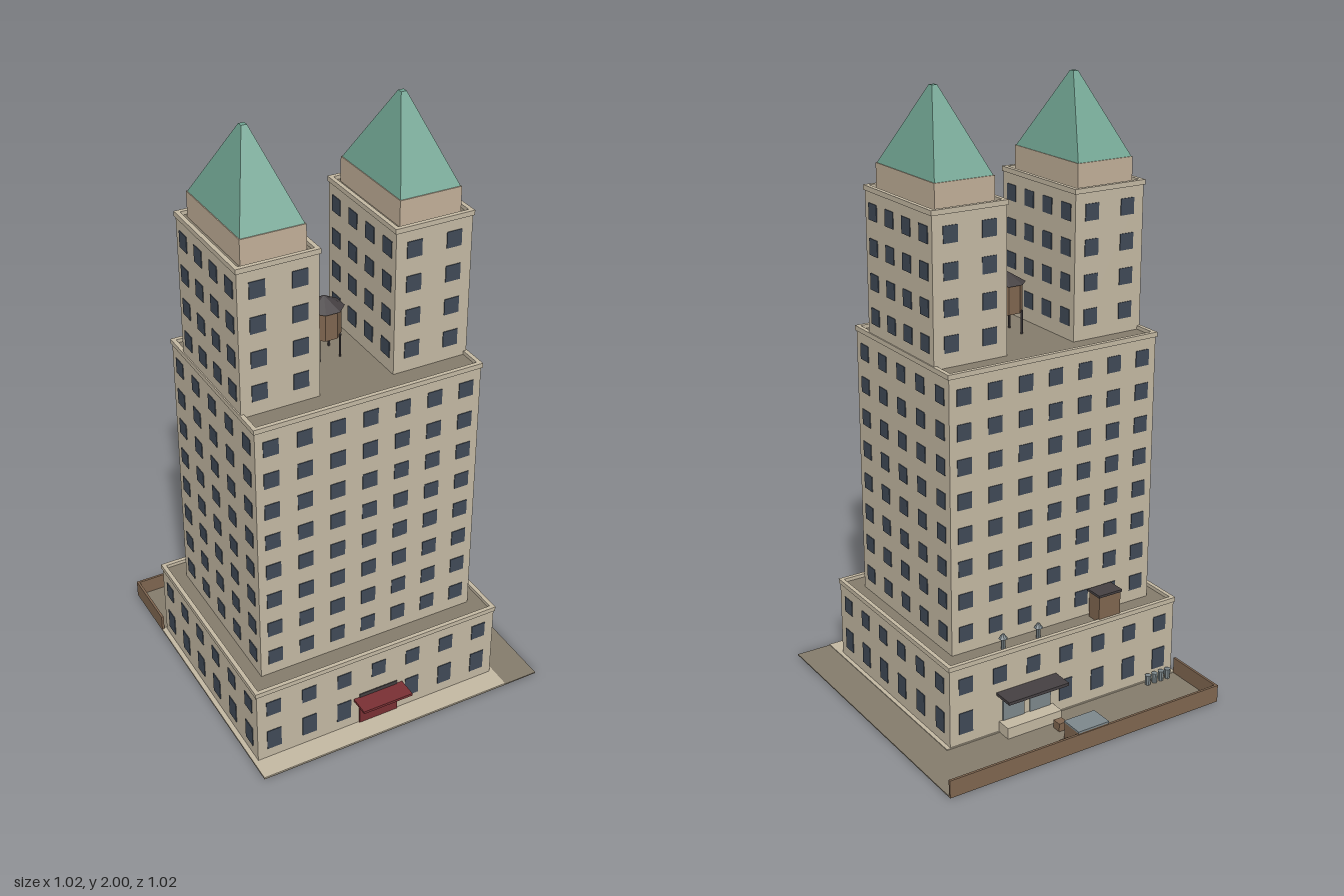
import * as THREE from 'three';
import { mergeGeometries } from 'three/addons/utils/BufferGeometryUtils.js';

const mat = (name, color) => {
  const m = new THREE.MeshStandardMaterial({ color });
  m.name = name;
  return m;
};

export function createModel() {
  const M = {
    stone: mat('limestone', 0xc4b9a3),
    trim: mat('warm trim', 0xc2b099),
    roof: mat('roof and yard', 0x857c6c),
    glass: mat('window glass', 0x404a57),
    copper: mat('green copper', 0x6fa290),
    brown: mat('brown brick and wood', 0x7f6650),
    dark: mat('dark metal', 0x454042),
    red: mat('entrance red', 0x7a3034),
    steel: mat('blue grey steel', 0x7d888c),
  };
  const CX = -0.06, CZ = 0.075;
  const model = new THREE.Group();
  model.name = 'twinTowerBuilding';

  const add = (name, geometry, material, parent = model) => {
    const mesh = new THREE.Mesh(geometry, material);
    mesh.name = name;
    parent.add(mesh);
    return mesh;
  };
  // Box given by its low and high limits on each axis
  const boxGeo = (x0, x1, y0, y1, z0, z1) =>
    new THREE.BoxGeometry(x1 - x0, y1 - y0, z1 - z0).translate((x0 + x1) / 2, (y0 + y1) / 2, (z0 + z1) / 2);
  const box = (name, material, limits, parent) => add(name, boxGeo(...limits), material, parent);
  const cyl = (name, material, r0, r1, h, n, x, y, z, parent) => {
    const g = new THREE.CylinderGeometry(r1, r0, h, n).rotateY(Math.PI / n).toNonIndexed();
    g.computeVertexNormals();
    return add(name, g.translate(x, y + h / 2, z), material, parent);
  };

  // Block with walls, a sunken flat roof and a projecting parapet rim
  function tier(name, cx, w, d, y0, y1) {
    const g = new THREE.Group();
    g.name = name;
    model.add(g);
    const lip = 0.004, t = 0.014, low = y1 - 0.012;
    box('walls', M.stone, [cx - w / 2, cx + w / 2, y0, low - 0.002, CZ - d / 2, CZ + d / 2], g);
    box('flatRoof', M.roof, [cx - w / 2 + 0.005, cx + w / 2 - 0.005, low - 0.004, low, CZ - d / 2 + 0.005, CZ + d / 2 - 0.005], g);
    const rect = (P, a, b) => new P([[-a, -b], [a, -b], [a, b], [-a, b]].map(p => new THREE.Vector2(...p)));
    const a = w / 2 + lip, b = d / 2 + lip;
    const s = rect(THREE.Shape, a, b);
    s.holes.push(rect(THREE.Path, a - t, b - t));
    const rim = new THREE.ExtrudeGeometry(s, { depth: 0.016, bevelEnabled: false });
    add('parapet', rim.rotateX(-Math.PI / 2).translate(cx, y1 - 0.016, CZ), M.stone, g);
    return g;
  }

  // Rows of thin panes on all four walls; skip(side, col, row) leaves gaps
  function windows(g, cx, w, d, nx, dx, nz, dz, rows, skip = () => false) {
    const panes = [];
    for (const side of ['front', 'back', 'left', 'right']) {
      const facesZ = side === 'front' || side === 'back';
      const n = facesZ ? nx : nz, step = facesZ ? dx : dz;
      const sign = side === 'front' || side === 'left' ? 1 : -1;
      rows.forEach(([y, h], row) => {
        for (let i = 0; i < n; i++) {
          if (skip(side, i, row)) continue;
          const u = (i - (n - 1) / 2) * step;
          panes.push(facesZ
            ? new THREE.BoxGeometry(0.05, h, 0.005).translate(cx + u, y, CZ + sign * d / 2)
            : new THREE.BoxGeometry(0.005, h, 0.05).translate(cx + sign * w / 2, y, CZ + u));
        }
      });
    }
    add('windows', mergeGeometries(panes), M.glass, g);
  }
  const floors = (n, y, step) => Array.from({ length: n }, (_, i) => [y + i * step, 0.053]);

  // Ground and pavement
  box('yard', M.roof, [-0.512, 0.512, 0, 0.004, -0.512, 0.512]);
  box('pavement', M.stone, [-0.512, 0.39, 0.001, 0.007, -0.29, 0.512]);
  box('backYardWall', M.brown, [-0.512, 0.512, 0, 0.06, -0.512, -0.504]);
  box('sideYardWall', M.brown, [-0.512, -0.504, 0, 0.06, -0.512, -0.29]);

  // Podium and main block
  const podium = tier('podium', CX, 0.872, 0.722, 0, 0.29);
  windows(podium, CX, 0.872, 0.722, 7, 0.126, 6, 0.121, [[0.08, 0.074], [0.21, 0.055]],
    (side, i, row) => row === 0 && ((side === 'front' && i === 3) || (side === 'back' && (i === 4 || i === 5))));
  const block = tier('mainBlock', CX, 0.762, 0.572, 0.275, 1.207);
  windows(block, CX, 0.762, 0.572, 7, 0.11, 5, 0.117, floors(8, 0.345, 0.112));

  // Twin towers with copper roofs
  for (const [name, cx] of [['rightTower', -0.3125], ['leftTower', 0.1925]]) {
    const t = tier(name, cx, 0.257, 0.402, 1.19, 1.68);
    windows(t, cx, 0.257, 0.402, 2, 0.134, 4, 0.102, floors(4, 1.268, 0.1115));
    box('roofBase', M.trim, [cx - 0.103, cx + 0.103, 1.66, 1.75, CZ - 0.175, CZ + 0.175], t);
    let spire = new THREE.BoxGeometry(0.202, 0.252, 0.346);
    const p = spire.attributes.position;
    for (let i = 0; i < p.count; i++) {
      if (p.getY(i) > 0) p.setXYZ(i, Math.sign(p.getX(i)) * 0.009, p.getY(i), Math.sign(p.getZ(i)) * 0.009);
    }
    spire = spire.toNonIndexed();
    spire.computeVertexNormals();
    add('copperRoof', spire.translate(cx, 1.874, CZ), M.copper, t);
  }

  // Water tank between the towers
  const tank = new THREE.Group();
  tank.name = 'waterTank';
  model.add(tank);
  for (const sx of [-1, 1]) for (const sz of [-1, 1]) {
    cyl('tankLeg', M.dark, 0.004, 0.004, 0.08, 6, CX + sx * 0.036, 1.193, 0.07 + sz * 0.036, tank);
  }
  cyl('tankBarrel', M.brown, 0.053, 0.053, 0.095, 8, CX, 1.268, 0.07, tank);
  cyl('tankRoof', M.dark, 0.063, 0.002, 0.036, 8, CX, 1.362, 0.07, tank);

  // Front entrance
  const front = CZ + 0.361;
  box('entranceTransom', M.dark, [-0.13, 0.01, 0.1, 0.127, front - 0.004, front + 0.003]);
  box('entranceDoor', M.red, [-0.13, 0.01, 0.007, 0.105, front - 0.004, front + 0.005]);
  box('awning', M.red, [-0.15, 0.03, 0.105, 0.114, front, 0.503]);

  // Loading dock at the back
  const back = CZ - 0.361;
  box('dockPlatform', M.stone, [-0.01, 0.195, 0, 0.042, -0.338, back]);
  box('dockCanopy', M.dark, [-0.022, 0.205, 0.139, 0.149, -0.36, back]);
  for (const x of [0.04, 0.142]) {
    box('dockDoor', M.steel, [x - 0.04, x + 0.04, 0.042, 0.125, back - 0.004, back + 0.004]);
  }
  box('crate', M.brown, [0.005, 0.035, 0, 0.032, -0.39, -0.358]);
  box('crate', M.brown, [0.054, 0.09, 0, 0.034, -0.5, -0.468]);
  box('skipBody', M.brown, [-0.07, 0.045, 0, 0.064, -0.51, -0.432]);
  box('skipLid', M.steel, [-0.071, 0.046, 0.064, 0.07, -0.511, -0.431]);
  for (let i = 0; i < 4; i++) {
    cyl('binCan', M.steel, 0.009, 0.011, 0.035, 8, -0.465 + i * 0.027, 0.004, -0.306);
  }

  // Podium roof hut and vents
  box('roofHut', M.brown, [-0.277, -0.193, 0.275, 0.369, -0.281, -0.225]);
  box('roofHutTop', M.dark, [-0.281, -0.189, 0.369, 0.377, -0.285, -0.221]);
  for (const x of [0.027, 0.16]) {
    cyl('ventPipe', M.steel, 0.007, 0.007, 0.04, 8, x, 0.276, -0.255);
    cyl('ventCap', M.steel, 0.015, 0.004, 0.016, 8, x, 0.314, -0.255);
  }
  return model;
}
